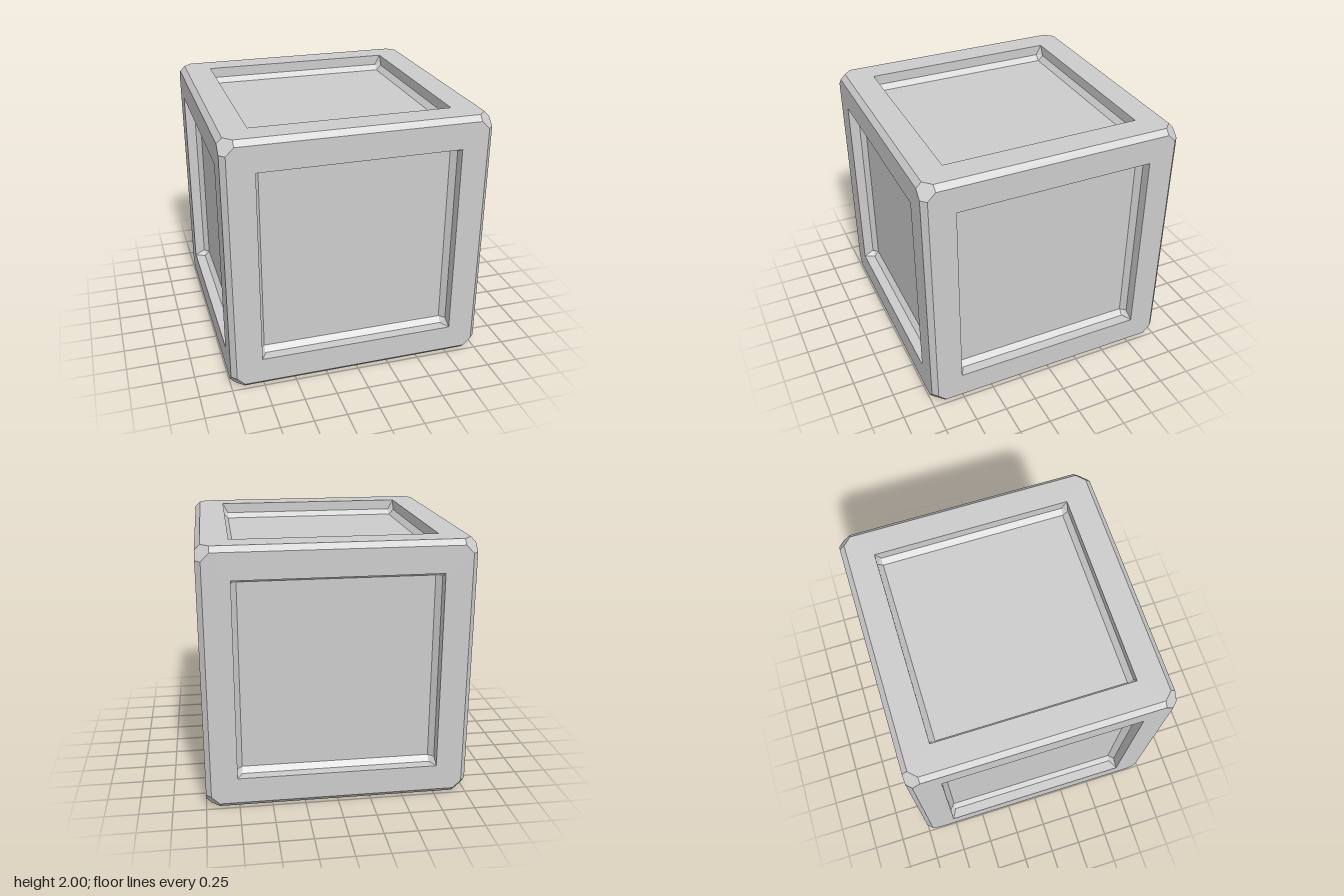
import * as THREE from 'three';

const FLAT = 0.9, RIM = 0.96, OUT = 1;        // bevelled outer body
const HOLE = 0.76, FLOOR = 0.72;              // recess opening and floor half sizes
const WALL_Z = 0.92, FLOOR_Z = 0.88;          // levels of wall foot and recess floor

const material = new THREE.MeshStandardMaterial({ color: 0xcccccc, flatShading: true });

// Convex polygons as triangle fans, each turned to face a reference point
function polygons(list, facing) {
  const positions = [];
  for (const poly of list) {
    const p = poly.map((c) => new THREE.Vector3(...c));
    const normal = p[1].clone().sub(p[0]).cross(p[2].clone().sub(p[0]));
    if (normal.dot(new THREE.Vector3(...facing).sub(p[0])) < 0) p.reverse();
    for (let i = 1; i < p.length - 1; i++) {
      for (const v of [p[0], p[i], p[i + 1]]) positions.push(v.x, v.y, v.z);
    }
  }
  const geometry = new THREE.BufferGeometry();
  geometry.setAttribute('position', new THREE.Float32BufferAttribute(positions, 3));
  geometry.computeVertexNormals();
  return geometry;
}

function addMesh(parent, name, geometry) {
  const mesh = new THREE.Mesh(geometry, material);
  mesh.name = name;
  parent.add(mesh);
}

// Flat border with clipped corners and a square opening
function frameGeometry() {
  const shape = new THREE.Shape([
    [FLAT, -RIM], [RIM, -FLAT], [RIM, FLAT], [FLAT, RIM],
    [-FLAT, RIM], [-RIM, FLAT], [-RIM, -FLAT], [-FLAT, -RIM],
  ].map(([x, y]) => new THREE.Vector2(x, y)));
  shape.holes.push(new THREE.Path(
    [[-1, -1], [-1, 1], [1, 1], [1, -1]].map(([x, y]) => new THREE.Vector2(x * HOLE, y * HOLE))));
  return new THREE.ShapeGeometry(shape).translate(0, 0, OUT);
}

// Recess walls, sloped foot, corner fillets and floor
function recessGeometry() {
  const list = [[[-1, -1], [1, -1], [1, 1], [-1, 1]].map(([x, y]) => [x * FLOOR, y * FLOOR, FLOOR_Z])];
  for (let k = 0; k < 4; k++) {
    const c = Math.round(Math.cos(k * Math.PI / 2)), s = Math.round(Math.sin(k * Math.PI / 2));
    const turn = ([x, y, z]) => [x * c - y * s, x * s + y * c, z];
    const wallA = [HOLE, -FLOOR, WALL_Z], wallB = [HOLE, FLOOR, WALL_Z];
    const topB = [HOLE, HOLE, OUT], nextA = [FLOOR, HOLE, WALL_Z];
    const footB = [FLOOR, FLOOR, FLOOR_Z];
    list.push(
      [[HOLE, -HOLE, OUT], wallA, wallB, topB].map(turn),
      [wallA, wallB, footB, [FLOOR, -FLOOR, FLOOR_Z]].map(turn),
      [topB, wallB, nextA].map(turn),
      [wallB, footB, nextA].map(turn));
  }
  return polygons(list, [0, 0, OUT]);
}

export function createModel() {
  const model = new THREE.Group();
  model.name = 'panelledCube';
  const body = new THREE.Group();
  body.name = 'body';
  body.position.y = 1;
  model.add(body);

  // Six identical sides
  const frame = frameGeometry(), recess = recessGeometry();
  const h = Math.PI / 2;
  const sides = { front: [0, 0], left: [0, h], back: [0, Math.PI], right: [0, -h], top: [-h, 0], bottom: [h, 0] };
  for (const [name, [rx, ry]] of Object.entries(sides)) {
    const side = new THREE.Group();
    side.name = name + 'Side';
    side.rotation.set(rx, ry, 0);
    addMesh(side, name + 'Frame', frame);
    addMesh(side, name + 'Recess', recess);
    body.add(side);
  }

  // Twelve edge bevels, four along each axis
  const cycle = (p, n) => p.map((_, i) => p[(i - n + 3) % 3]);
  for (let axis = 0; axis < 3; axis++) {
    for (const a of [-1, 1]) for (const b of [-1, 1]) {
      const strip = [[-FLAT, a * RIM, b * OUT], [FLAT, a * RIM, b * OUT],
        [FLAT, a * OUT, b * RIM], [-FLAT, a * OUT, b * RIM]];
      addMesh(body, 'edgeBevel',
        polygons([strip.map((p) => cycle(p, axis))], cycle([0, a * 3, b * 3], axis)));
    }
  }

  // Eight hexagonal corner cuts
  const hexagon = [[FLAT, RIM, OUT], [RIM, FLAT, OUT], [OUT, FLAT, RIM],
    [OUT, RIM, FLAT], [RIM, OUT, FLAT], [FLAT, OUT, RIM]];
  for (const x of [-1, 1]) for (const y of [-1, 1]) for (const z of [-1, 1]) {
    addMesh(body, 'cornerCut',
      polygons([hexagon.map((p) => [p[0] * x, p[1] * y, p[2] * z])], [3 * x, 3 * y, 3 * z]));
  }
  return model;
}
